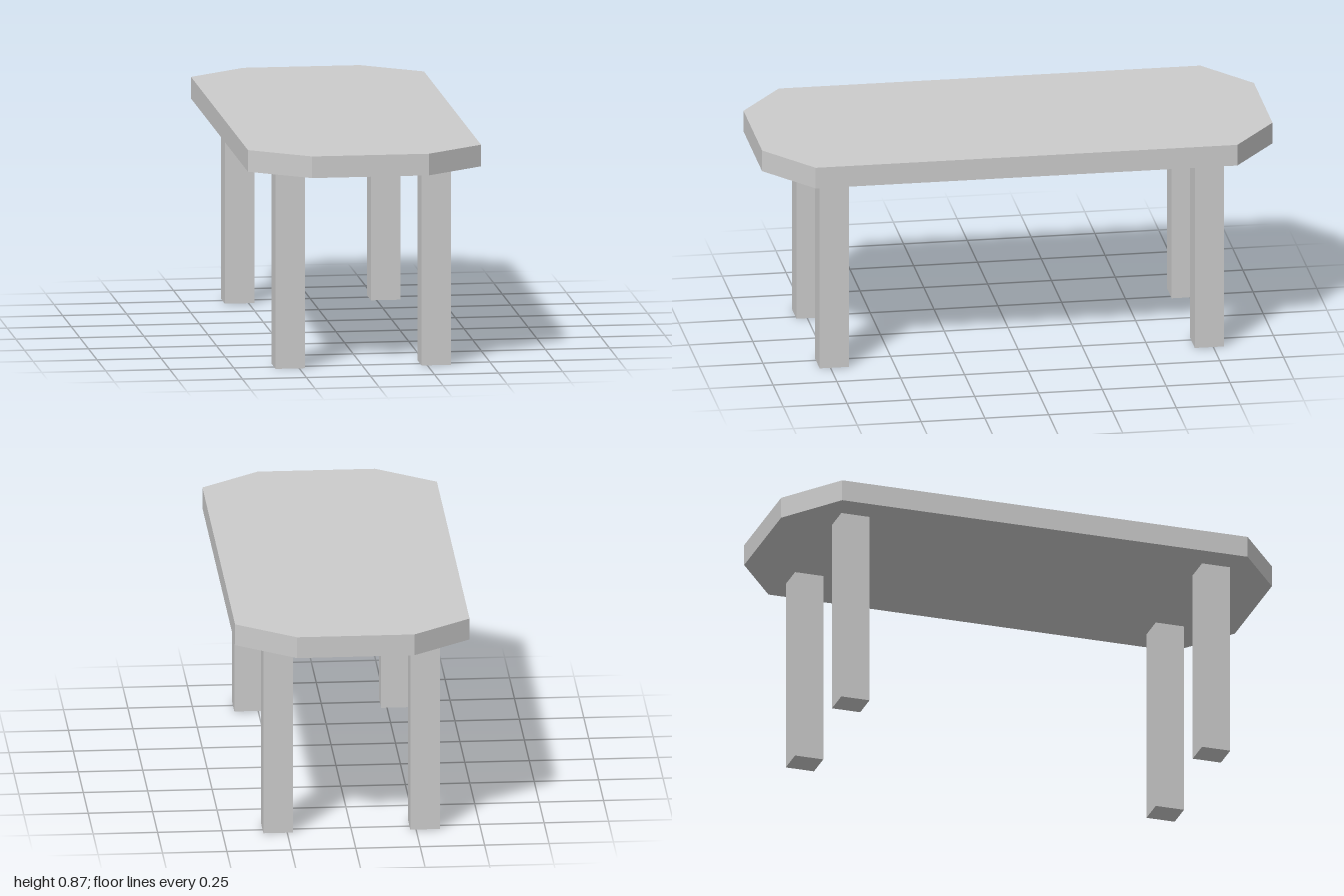
import * as THREE from 'three';

const HALF_WIDTH = 0.455, HALF_LENGTH = 1, TOP_Y = 0.868, UNDERSIDE_Y = 0.783;
const CORNER_X = 0.228, CORNER_Z = 0.826;
const LEG_SIZE = 0.115, LEG_X = 0.285, LEG_Z = 0.735;

export function createModel() {
  const table = new THREE.Group();
  table.name = 'table';
  const material = new THREE.MeshStandardMaterial({ color: 0xcccccc, flatShading: true });

  // Tabletop: a slab with four clipped corners
  const outline = new THREE.Shape([
    [CORNER_X, -HALF_LENGTH], [HALF_WIDTH, -CORNER_Z],
    [HALF_WIDTH, CORNER_Z], [CORNER_X, HALF_LENGTH],
    [-CORNER_X, HALF_LENGTH], [-HALF_WIDTH, CORNER_Z],
    [-HALF_WIDTH, -CORNER_Z], [-CORNER_X, -HALF_LENGTH],
  ].map(([x, y]) => new THREE.Vector2(x, y)));
  const slab = new THREE.ExtrudeGeometry(outline, { depth: TOP_Y - UNDERSIDE_Y, bevelEnabled: false });
  slab.rotateX(-Math.PI / 2);
  const tabletop = new THREE.Mesh(slab, material);
  tabletop.name = 'tabletop';
  tabletop.position.y = UNDERSIDE_Y;
  table.add(tabletop);

  // Four square legs, mirrored across both axes
  const legGeometry = new THREE.BoxGeometry(LEG_SIZE, UNDERSIDE_Y, LEG_SIZE);
  for (const [side, sx] of [['Left', 1], ['Right', -1]]) {
    for (const [end, sz] of [['front', 1], ['back', -1]]) {
      const leg = new THREE.Mesh(legGeometry, material);
      leg.name = `${end}${side}Leg`;
      leg.position.set(sx * LEG_X, UNDERSIDE_Y / 2, sz * LEG_Z);
      table.add(leg);
    }
  }
  return table;
}
